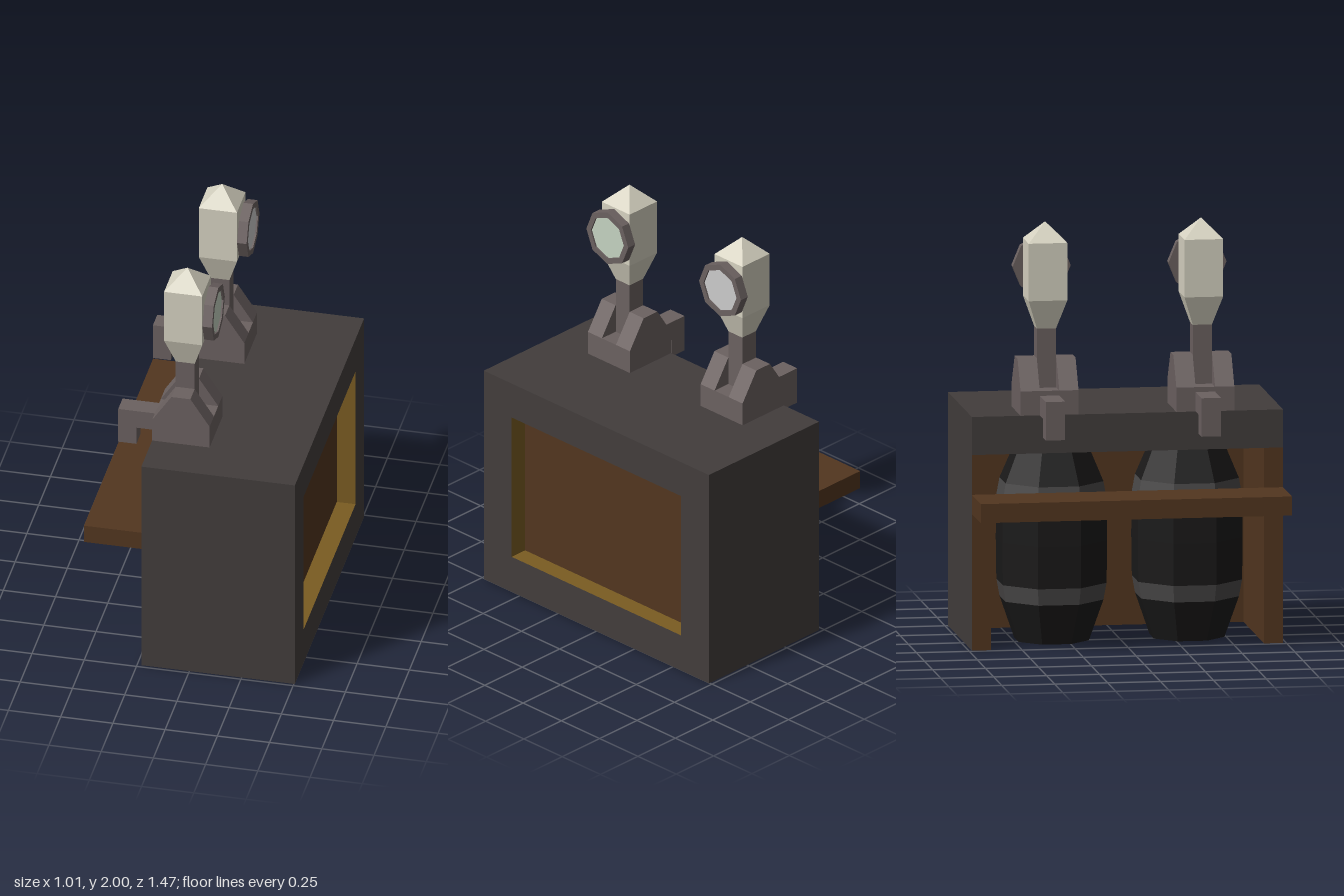
import * as THREE from 'three';

const mat = (color) => new THREE.MeshStandardMaterial({ color, flatShading: true });
const grey = mat(0x423d3c), brown = mat(0x52361f), gold = mat(0x7a5c22);
const metal = mat(0x6b6160), beige = mat(0xd6d2c1);
const black = mat(0x1a1919), hoop = mat(0x4a4848);

function add(parent, name, geometry, material) {
  const mesh = new THREE.Mesh(geometry, material);
  mesh.name = name;
  parent.add(mesh);
  return mesh;
}

// Box given by its min and max on each axis
function box(parent, name, material, [x0, x1], [y0, y1], [z0, z1]) {
  const mesh = add(parent, name, new THREE.BoxGeometry(x1 - x0, y1 - y0, z1 - z0), material);
  mesh.position.set((x0 + x1) / 2, (y0 + y1) / 2, (z0 + z1) / 2);
  return mesh;
}

const points = (pairs) => pairs.map(([x, y]) => new THREE.Vector2(x, y));

// Surface of revolution with flat sides
const facetedLathe = (pairs, sides, phase = 0) =>
  new THREE.LatheGeometry(points(pairs), sides, phase).toNonIndexed();

// Side outline extruded along z, starting at z
function plate(parent, name, pairs, z, depth) {
  const geo = new THREE.ExtrudeGeometry(new THREE.Shape(points(pairs)), { depth, bevelEnabled: false });
  add(parent, name, geo, metal).position.z = z;
}

// Open-backed counter; box materials run +x, -x, +y, -y, +z, -z
function makeCabinet() {
  const g = new THREE.Group();
  g.name = 'cabinet';
  const X = [-0.23, 0.505], wall = [0.415, 0.505];
  box(g, 'counterTop', grey, X, [0.925, 1.105], [-0.735, 0.735]);
  box(g, 'leftEndWall', [grey, brown, brown, brown, grey, brown], X, [0, 0.925], [0.645, 0.735]);
  box(g, 'rightEndWall', [grey, brown, brown, brown, brown, grey], X, [0, 0.925], [-0.735, -0.645]);
  // Front frame around a recessed panel
  box(g, 'panel', brown, [0.405, 0.415], [0, 0.925], [-0.645, 0.645]);
  box(g, 'frameBottom', [grey, brown, gold, brown, grey, grey], wall, [0, 0.186], [-0.645, 0.645]);
  box(g, 'frameLeft', [grey, brown, grey, grey, grey, gold], wall, [0.186, 0.925], [0.553, 0.645]);
  box(g, 'frameRight', [grey, brown, grey, grey, gold, grey], wall, [0.186, 0.925], [-0.645, -0.553]);
  box(g, 'shelf', brown, [-0.505, -0.23], [0.647, 0.737], [-0.735, 0.735]);
  return g;
}

// Tap with forked base, spout, handle and octagonal badge
function makeTap(faceColor) {
  const g = new THREE.Group();
  g.name = 'tap';
  box(g, 'tapBase', metal, [-0.23, 0.045], [1.105, 1.22], [-0.137, 0.137]);
  for (const z of [-0.137, 0.046]) {
    plate(g, 'baseCheek', [[-0.23, 1.22], [0.045, 1.22], [-0.047, 1.36], [-0.138, 1.36]], z, 0.091);
  }
  box(g, 'stem', metal, [-0.138, -0.047], [1.22, 1.5], [-0.045, 0.045]);
  plate(g, 'spout', [[-0.23, 1.105], [-0.23, 1.197], [-0.413, 1.197],
    [-0.413, 1.015], [-0.326, 1.015], [-0.326, 1.105]], -0.046, 0.092);

  // Square handle: [half diagonal, y] pairs
  const handle = facetedLathe([[0, 1.5], [0.064, 1.5], [0.129, 1.638], [0.129, 1.91], [0, 2]], 4, Math.PI / 4);
  add(g, 'handle', handle, beige).position.x = -0.092;

  // Profile runs from the back, around the rim, to the sunken face
  const rim = [[0, 0.01], [0.137, 0.01], [0.137, 0.056], [0.108, 0.056], [0.108, 0.047]];
  const badge = new THREE.Group();
  badge.name = 'badge';
  add(badge, 'badgeRim', facetedLathe(rim, 8), metal);
  const face = add(badge, 'badgeFace', new THREE.CircleGeometry(0.108, 8), mat(faceColor));
  face.rotation.x = -Math.PI / 2;
  face.position.y = 0.048;
  badge.rotation.z = -Math.PI / 2;
  badge.position.y = 1.773;
  g.add(badge);
  return g;
}

// Eight-sided keg with two hoops
function makeKeg() {
  const g = new THREE.Group();
  g.name = 'keg';
  const ring = (name, pairs, material) => add(g, name, facetedLathe(pairs, 8, Math.PI / 8), material);
  ring('kegBottom', [[0, 0.005], [0.18, 0.005], [0.25, 0.2]], black);
  ring('lowerHoop', [[0.25, 0.2], [0.265, 0.28]], hoop);
  ring('kegBody', [[0.265, 0.28], [0.268, 0.48], [0.265, 0.68]], black);
  ring('upperHoop', [[0.265, 0.68], [0.25, 0.76]], hoop);
  ring('kegTop', [[0.25, 0.76], [0.18, 0.92], [0, 0.92]], black);
  return g;
}

export function createModel() {
  const model = new THREE.Group();
  model.name = 'tapCounter';
  model.add(makeCabinet());
  for (const side of [1, -1]) {
    const tap = makeTap(side > 0 ? 0xc4d2c0 : 0xf2f0f0);
    tap.position.z = side * 0.368;
    const keg = makeKeg();
    keg.position.set(0.025, 0, side * 0.32);
    model.add(tap, keg);
  }
  return model;
}
